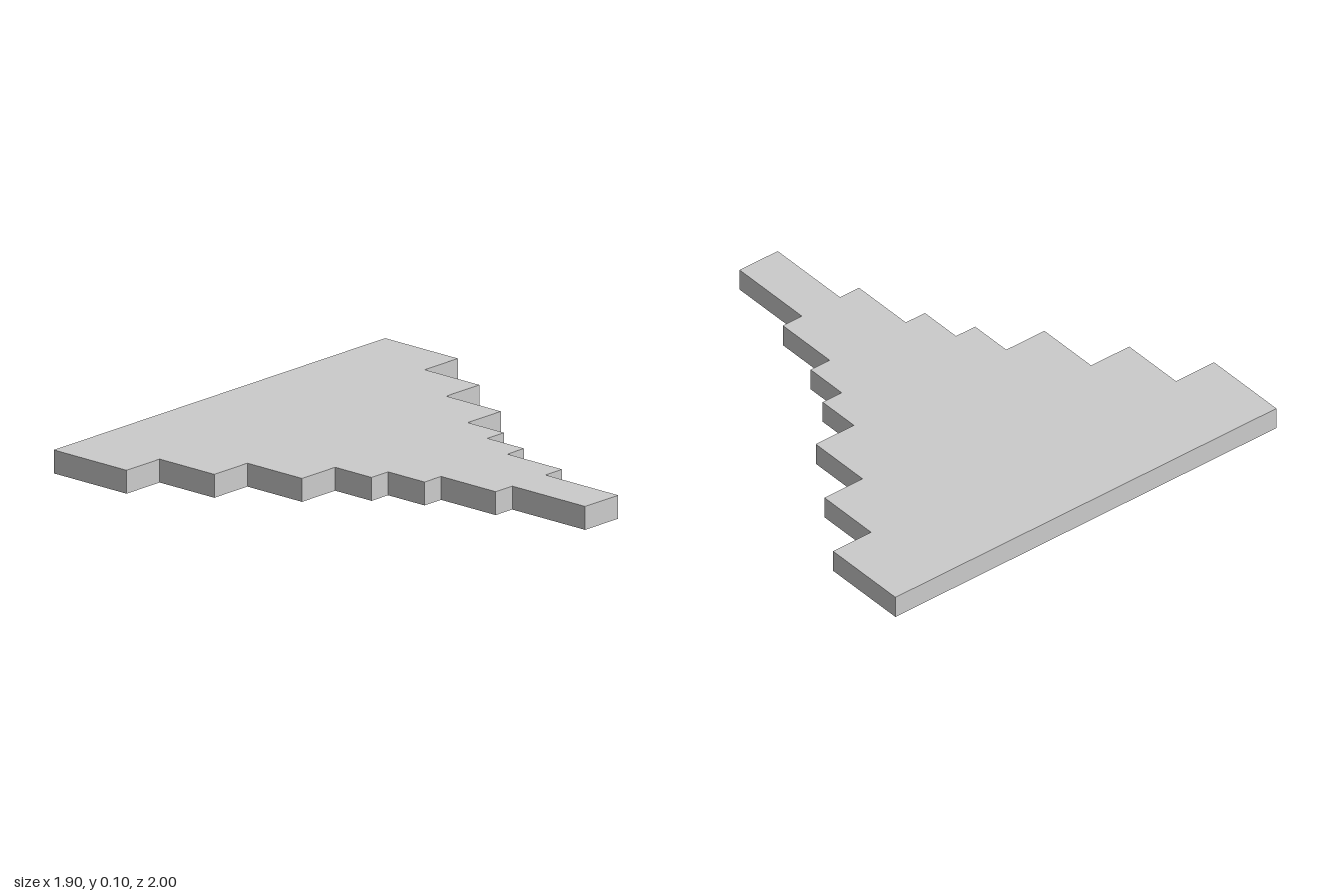
import * as THREE from 'three';

// The plate is laid out on a square grid, 21 cells deep
const U = 2 / 21;

// Tiers from back to front: [half width, depth] in cells
const TIERS = [[10, 4], [8, 3], [6, 3], [4, 2], [3, 2], [2, 3], [1, 4]];

export function createModel() {
  const group = new THREE.Group();
  group.name = 'steppedPlate';

  // Stepped right edge, back to front
  const edge = [];
  let y = 1;
  for (const [half, depth] of TIERS) {
    edge.push(new THREE.Vector2(half * U, y));
    y -= depth * U;
    edge.push(new THREE.Vector2(half * U, y));
  }
  // Mirrored edge closes the outline
  const mirrored = edge.map((p) => new THREE.Vector2(-p.x, p.y)).reverse();
  const outline = new THREE.Shape([...edge, ...mirrored]);

  // Slab one cell thick, laid flat on the ground
  const geometry = new THREE.ExtrudeGeometry(outline, { depth: U, bevelEnabled: false });
  geometry.rotateX(-Math.PI / 2);

  const slab = new THREE.Mesh(
    geometry,
    new THREE.MeshStandardMaterial({ color: 0xcccccc, flatShading: true })
  );
  slab.name = 'steppedSlab';
  group.add(slab);
  return group;
}
